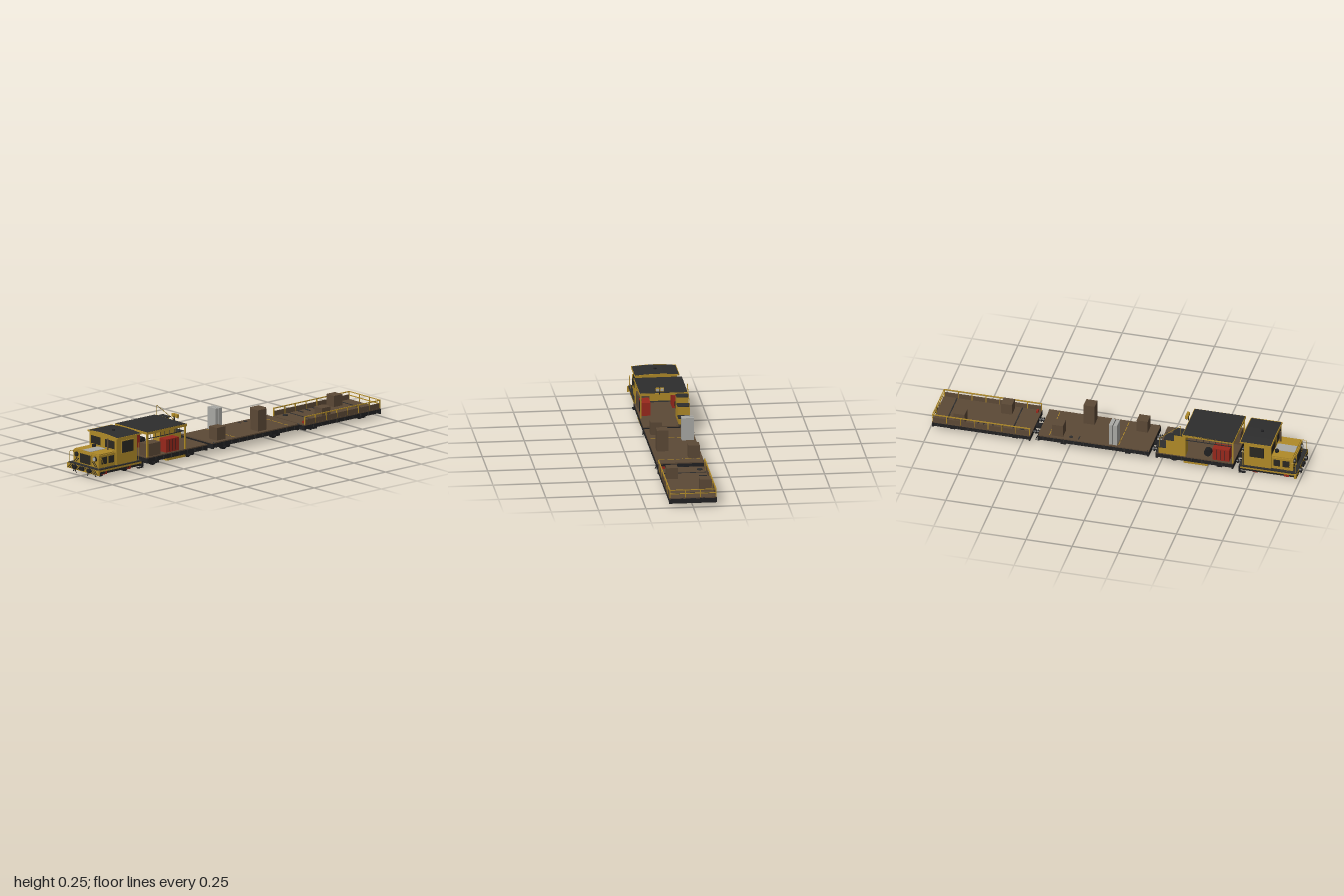
import * as THREE from 'three';

const mat = (name, color) => new THREE.MeshStandardMaterial({ name, color });

export function createModel() {
  const yellow = mat('yellow paint', 0xb08a28), brown = mat('brown deck', 0x5c4936);
  const dark = mat('dark roof', 0x2d2d2d), black = mat('black frame', 0x202022);
  const red = mat('red', 0x99281c), grey = mat('light grey', 0xa9a9a5), glass = mat('dark glass', 0x2a2822);
  const root = new THREE.Group();
  let g;
  const group = (name) => { g = new THREE.Group(); g.name = name; root.add(g); };
  const add = (name, geo, m) => {
    const o = new THREE.Mesh(geo, m);
    o.name = name; g.add(o);
    return o;
  };
  // box by its limits
  const box = (name, m, x0, x1, y0, y1, z0, z1) => {
    const o = add(name, new THREE.BoxGeometry(x1 - x0, y1 - y0, z1 - z0), m);
    o.position.set((x0 + x1) / 2, (y0 + y1) / 2, (z0 + z1) / 2);
    return o;
  };
  const cyl = (name, m, r, h, x, y, z, axis = 'y', n = 20) => {
    const geo = new THREE.CylinderGeometry(r, r, h, n);
    if (axis === 'x') geo.rotateZ(Math.PI / 2);
    if (axis === 'z') geo.rotateX(Math.PI / 2);
    add(name, geo, m).position.set(x, y, z);
  };
  // straight or curved pipe through points
  const pipe = (name, m, r, pts, curved = false) => {
    const v = pts.map((p) => new THREE.Vector3(...p));
    if (curved) return add(name, new THREE.TubeGeometry(new THREE.CatmullRomCurve3(v), 12, r, 6), m);
    const path = new THREE.CurvePath();
    for (let i = 1; i < v.length; i++) path.add(new THREE.LineCurve3(v[i - 1], v[i]));
    for (const c of path.curves) add(name, new THREE.TubeGeometry(c, 1, r, 6), m);
  };
  // slanted warning stripes on a forward-facing panel
  const stripes = (x0, x1, y0, y1, z, dir) => {
    const h = y1 - y0, w = 0.007;
    for (let x = x0; x + w + h <= x1 + 0.001; x += 0.015) {
      const a = dir > 0 ? 0 : h, b = h - a;
      const s = new THREE.Shape([[x + a, y0], [x + a + w, y0], [x + b + w, y1], [x + b, y1]].map((p) => new THREE.Vector2(...p)));
      add('warningStripe', new THREE.ShapeGeometry(s), black).position.z = z;
    }
  };
  const wheels = (zs, r, hub) => {
    for (const z of zs) {
      cyl('axle', black, 0.005, 0.16, 0, r, z, 'x', 10);
      for (const s of [-1, 1]) {
        cyl('wheel', black, r, 0.012, s * 0.075, r, z, 'x');
        cyl('wheelFlange', black, r + 0.001, 0.004, s * 0.067, r + 0.001, z, 'x');
        box('axleBox', hub, s * 0.1 - 0.012, s * 0.1 + 0.012, r - 0.004, r + 0.016, z - 0.014, z + 0.014);
      }
    }
  };
  // frame, deck and side ribs shared by the wagons
  const flatbed = (z0, z1, yb, yt) => {
    box('frame', black, -0.117, 0.117, yb + 0.004, yt - 0.006, z0 + 0.004, z1 - 0.004);
    box('deck', brown, -0.125, 0.125, yt - 0.006, yt, z0, z1);
    for (const s of [-1, 1]) {
      box('sideSill', black, s * 0.121 - 0.004, s * 0.121 + 0.004, yb, yt - 0.006, z0, z1);
      for (let z = z0 + 0.03; z < z1 - 0.01; z += 0.055) box('sillRib', dark, s * 0.125 - 0.002, s * 0.125 + 0.002, yb + 0.003, yt - 0.008, z - 0.003, z + 0.003);
      box('centreBeam', black, s * 0.04 - 0.007, s * 0.04 + 0.007, yb - 0.008, yb + 0.005, z0 + 0.02, z1 - 0.02);
    }
    for (const z of [z0 + 0.005, z1 - 0.005]) box('endBeam', black, -0.127, 0.127, yb - 0.005, yt - 0.006, z - 0.005, z + 0.005);
  };
  const coupling = (z, y) => {
    box('coupler', black, -0.014, 0.014, y - 0.008, y + 0.008, z - 0.025, z + 0.025);
    for (const s of [-1, 1]) {
      cyl('bufferShaft', black, 0.006, 0.046, s * 0.058, y, z, 'z');
      for (const d of [-0.006, 0.006]) cyl('bufferHead', black, 0.012, 0.005, s * 0.058, y, z + d, 'z');
      pipe('brakeHose', black, 0.002, [[s * 0.03, y, z + 0.02], [s * 0.034, y - 0.022, z], [s * 0.03, y, z - 0.02]], true);
    }
  };

  // ---- tractor ----
  group('tractor');
  box('frame', black, -0.112, 0.112, 0.022, 0.046, 0.68, 0.975);
  box('deck', dark, -0.118, 0.118, 0.046, 0.052, 0.675, 0.985);
  for (const s of [-1, 1]) box('sideSill', yellow, s * 0.115 - 0.003, s * 0.115 + 0.003, 0.036, 0.046, 0.68, 0.98);
  box('frontBeam', yellow, -0.124, 0.124, 0.02, 0.048, 0.974, 0.986);
  box('rearBeam', black, -0.124, 0.124, 0.02, 0.048, 0.672, 0.68);
  stripes(-0.12, -0.015, 0.022, 0.046, 0.987, 1);
  stripes(0.015, 0.12, 0.022, 0.046, 0.987, -1);
  wheels([0.93, 0.76], 0.022, red);
  box('frontCoupler', black, -0.014, 0.014, 0.028, 0.046, 0.986, 0.998);
  for (const s of [-1, 1]) {
    cyl('frontBuffer', black, 0.012, 0.014, s * 0.058, 0.037, 0.993, 'z');
    pipe('frontHose', black, 0.002, [[s * 0.045, 0.035, 0.988], [s * 0.05, 0.018, 0.993], [s * 0.042, 0.006, 0.99]], true);
    pipe('railGuard', black, 0.003, [[s * 0.075, 0.025, 0.97], [s * 0.085, 0.012, 0.972], [s * 0.088, 0.006, 0.972]], true);
    box('step', black, s * 0.12 - 0.008, s * 0.12 + 0.008, 0.014, 0.018, 0.675, 0.71);
  }
  // bonnet
  box('bonnet', yellow, -0.1, 0.1, 0.052, 0.12, 0.845, 0.962);
  box('bonnetTop', yellow, -0.094, 0.094, 0.12, 0.125, 0.845, 0.956);
  box('bonnetPlate', grey, -0.036, 0.025, 0.125, 0.127, 0.848, 0.954);
  box('grilleFrame', yellow, -0.044, 0.044, 0.056, 0.115, 0.962, 0.967);
  box('grille', glass, -0.039, 0.039, 0.06, 0.11, 0.967, 0.97);
  stripes(-0.098, -0.046, 0.056, 0.08, 0.963, 1);
  stripes(0.046, 0.098, 0.056, 0.08, 0.963, -1);
  for (const s of [-1, 1]) {
    cyl('headlightRim', black, 0.013, 0.008, s * 0.073, 0.098, 0.965, 'z');
    cyl('headlight', s > 0 ? grey : glass, 0.01, 0.004, s * 0.073, 0.098, 0.97, 'z');
    for (const z of [0.875, 0.925]) box('sideLouvre', glass, s * 0.1 - 0.002, s * 0.1 + 0.002, 0.07, 0.108, z - 0.018, z + 0.018);
    pipe('frontHandrail', yellow, 0.0015, [[s * 0.113, 0.05, 0.978], [s * 0.113, 0.11, 0.978], [s * 0.113, 0.11, 0.955], [s * 0.113, 0.05, 0.93]]);
  }
  cyl('exhaust', brown, 0.005, 0.062, 0.05, 0.154, 0.855);
  cyl('airFilter', black, 0.011, 0.014, -0.05, 0.13, 0.862);
  // cab with a gently arched roof
  box('cab', yellow, -0.107, 0.107, 0.052, 0.196, 0.7, 0.845);
  const arch = new THREE.Shape();
  arch.moveTo(-0.117, 0.194);
  arch.lineTo(0.117, 0.194);
  arch.lineTo(0.117, 0.199);
  arch.quadraticCurveTo(0, 0.213, -0.117, 0.199);
  const roofGeo = (d) => new THREE.ExtrudeGeometry(arch, { depth: d, bevelEnabled: false, curveSegments: 12 });
  add('cabRoof', roofGeo(0.164), dark).position.z = 0.682;
  for (const z of [0.678, 0.846]) add('roofRim', roofGeo(0.004), yellow).position.z = z;
  for (const s of [-1, 1]) {
    box('roofEdge', yellow, s * 0.1175 - 0.0015, s * 0.1175 + 0.0015, 0.193, 0.2, 0.68, 0.849);
    for (const z of [0.7, 0.845]) box('cabWindow', glass, s * 0.055 - 0.037, s * 0.055 + 0.037, 0.135, 0.177, z - 0.002, z + 0.002);
    box('sideWindowFrame', yellow, s * 0.107 - 0.003, s * 0.107 + 0.003, 0.108, 0.178, 0.726, 0.811);
    box('sideWindow', glass, s * 0.108 - 0.004, s * 0.108 + 0.004, 0.112, 0.174, 0.73, 0.807);
    pipe('cabHandrail', yellow, 0.0015, [[s * 0.114, 0.055, 0.695], [s * 0.114, 0.15, 0.695]]);
  }
  cyl('roofVent', black, 0.008, 0.006, 0, 0.209, 0.77);
  coupling(0.66, 0.037);

  // ---- canopy wagon ----
  group('canopyWagon');
  flatbed(0.225, 0.645, 0.034, 0.062);
  wheels([0.565, 0.32], 0.022, black);
  box('underfloorTank', yellow, -0.122, 0.122, 0.02, 0.05, 0.375, 0.505);
  box('canopyRoof', dark, -0.127, 0.125, 0.193, 0.199, 0.372, 0.645);
  box('canopyCeiling', brown, -0.12, 0.12, 0.19, 0.193, 0.376, 0.641);
  for (const s of [-1, 1]) {
    box('canopySideBeam', yellow, s * 0.124 - 0.003, s * 0.124 + 0.003, 0.185, 0.198, 0.37, 0.647);
    for (const z of [0.376, 0.641]) box('canopyPost', yellow, s * 0.12 - 0.004, s * 0.12 + 0.004, 0.062, 0.19, z - 0.004, z + 0.004);
    for (let i = 0; i < 7; i++) box('hangerRod', dark, s * 0.116 - 0.001, s * 0.116 + 0.001, 0.16, 0.19, 0.41 + i * 0.034, 0.412 + i * 0.034);
    box('hangerRail', dark, s * 0.116 - 0.0015, s * 0.116 + 0.0015, 0.158, 0.162, 0.38, 0.64);
  }
  for (const z of [0.372, 0.645]) box('canopyEndBeam', yellow, -0.127, 0.127, 0.185, 0.198, z - 0.003, z + 0.003);
  // equipment under the canopy
  const ribbed = (s, z0, z1) => {
    const x = s * 0.09;
    box('redCabinet', red, x - 0.026, x + 0.026, 0.062, 0.133, z0, z1);
    for (let i = 1; i < 4; i++) {
      const z = z0 + (z1 - z0) * i / 4;
      box('cabinetSeam', black, x + s * 0.026 - 0.001, x + s * 0.026 + 0.001, 0.068, 0.128, z - 0.0015, z + 0.0015);
    }
  };
  ribbed(1, 0.415, 0.505);
  ribbed(-1, 0.53, 0.62);
  box('brownCrate', brown, 0.055, 0.117, 0.062, 0.13, 0.545, 0.637);
  cyl('hoseReel', black, 0.02, 0.03, -0.09, 0.09, 0.5, 'x');
  // stair blocks with dark treads
  for (const [z0, z1, y] of [[0.24, 0.28, 0.098], [0.28, 0.325, 0.15], [0.325, 0.385, 0.188]]) {
    box('stairBlock', yellow, -0.125, -0.065, 0.062, y, z0, z1);
    box('stairTread', dark, -0.127, -0.062, y, y + 0.004, z0 - 0.012, z1);
  }
  box('stairLanding', dark, -0.126, -0.062, 0.062, 0.064, 0.225, 0.24);
  pipe('stairHandrail', yellow, 0.0015, [[-0.124, 0.19, 0.36], [-0.124, 0.25, 0.36], [-0.124, 0.155, 0.245], [-0.124, 0.062, 0.245]]);
  // work lamps
  box('lampBar', black, 0.0, 0.046, 0.21, 0.213, 0.357, 0.36);
  cyl('lampPost', black, 0.003, 0.025, 0.022, 0.206, 0.365);
  for (const x of [0.01, 0.035]) {
    box('lampHousing', yellow, x - 0.01, x + 0.01, 0.213, 0.23, 0.352, 0.366);
    box('lampGlass', grey, x - 0.008, x + 0.008, 0.215, 0.228, 0.35, 0.352);
  }
  coupling(0.207, 0.037);

  // ---- flat wagon ----
  group('flatWagon');
  flatbed(-0.415, 0.188, 0.034, 0.062);
  wheels([0.07, -0.28], 0.022, black);
  for (const [x, z, y] of [[-0.08, -0.312, 0.13], [0.072, -0.18, 0.176], [0.072, 0.108, 0.13]])
    box('brownCrate', brown, x - 0.03, x + 0.03, 0.062, y, z - 0.03, z + 0.03);
  for (const z of [-0.022, 0.002]) box('greyCabinet', grey, -0.115, -0.05, 0.062, 0.183, z - 0.01, z + 0.01);
  box('cabinetCore', dark, -0.112, -0.053, 0.062, 0.18, -0.014, -0.006);
  for (const z of [-0.355, 0.02]) for (let i = 0; i < 5; i++)
    box('deckMark', yellow, -0.11 + i * 0.046, -0.075 + i * 0.046, 0.062, 0.063, z - 0.002, z + 0.002);
  box('deckHatch', dark, -0.112, -0.085, 0.062, 0.064, -0.2, -0.194);
  cyl('deckRing', dark, 0.01, 0.003, -0.1, 0.063, -0.24);
  for (const s of [-1, 1]) for (const z of [-0.41, 0.182])
    pipe('sideHose', black, 0.0025, [[s * 0.122, 0.066, z], [s * 0.131, 0.058, z - 0.005], [s * 0.13, 0.048, z - 0.01], [s * 0.137, 0.036, z - 0.012]], true);
  coupling(-0.435, 0.036);

  // ---- railed wagon ----
  group('railedWagon');
  flatbed(-0.988, -0.455, 0.024, 0.05);
  wheels([-0.54, -0.88], 0.016, black);
  for (const s of [-1, 1]) {
    box('sideBoard', brown, s * 0.122 - 0.002, s * 0.122 + 0.002, 0.05, 0.076, -0.985, -0.458);
    box('sideRail', yellow, s * 0.122 - 0.0025, s * 0.122 + 0.0025, 0.089, 0.094, -0.987, -0.456);
    for (let i = 0; i < 8; i++) {
      const z = -0.984 + i * 0.075;
      box('railPost', yellow, s * 0.122 - 0.003, s * 0.122 + 0.003, 0.05, 0.09, z - 0.002, z + 0.002);
    }
  }
  for (const y of [0.07, 0.09]) box('endRail', yellow, -0.122, 0.122, y, y + 0.004, -0.988, -0.984);
  for (const x of [-0.04, 0.04]) box('endPost', yellow, x - 0.002, x + 0.002, 0.05, 0.09, -0.988, -0.984);
  for (const [x, z] of [[-0.08, -0.845], [0.072, -0.628]]) box('brownCrate', brown, x - 0.03, x + 0.03, 0.05, 0.11, z - 0.03, z + 0.03);
  for (const z of [-0.56, -0.915]) box('deckSeam', dark, -0.118, 0.118, 0.05, 0.052, z - 0.003, z + 0.003);
  for (const z of [-0.75, -0.72, -0.67, -0.62]) box('deckTool', dark, -0.115, -0.075, 0.05, 0.054, z - 0.003, z + 0.003);
  cyl('deckRing', dark, 0.014, 0.005, -0.09, 0.052, -0.51);
  box('redLamp', red, 0.09, 0.11, 0.05, 0.062, -0.48, -0.47);
  box('rearCoupler', black, -0.014, 0.014, 0.03, 0.046, -1, -0.988);
  for (const s of [-1, 1]) cyl('rearBuffer', black, 0.011, 0.01, s * 0.058, 0.037, -0.994, 'z');
  return root;
}
